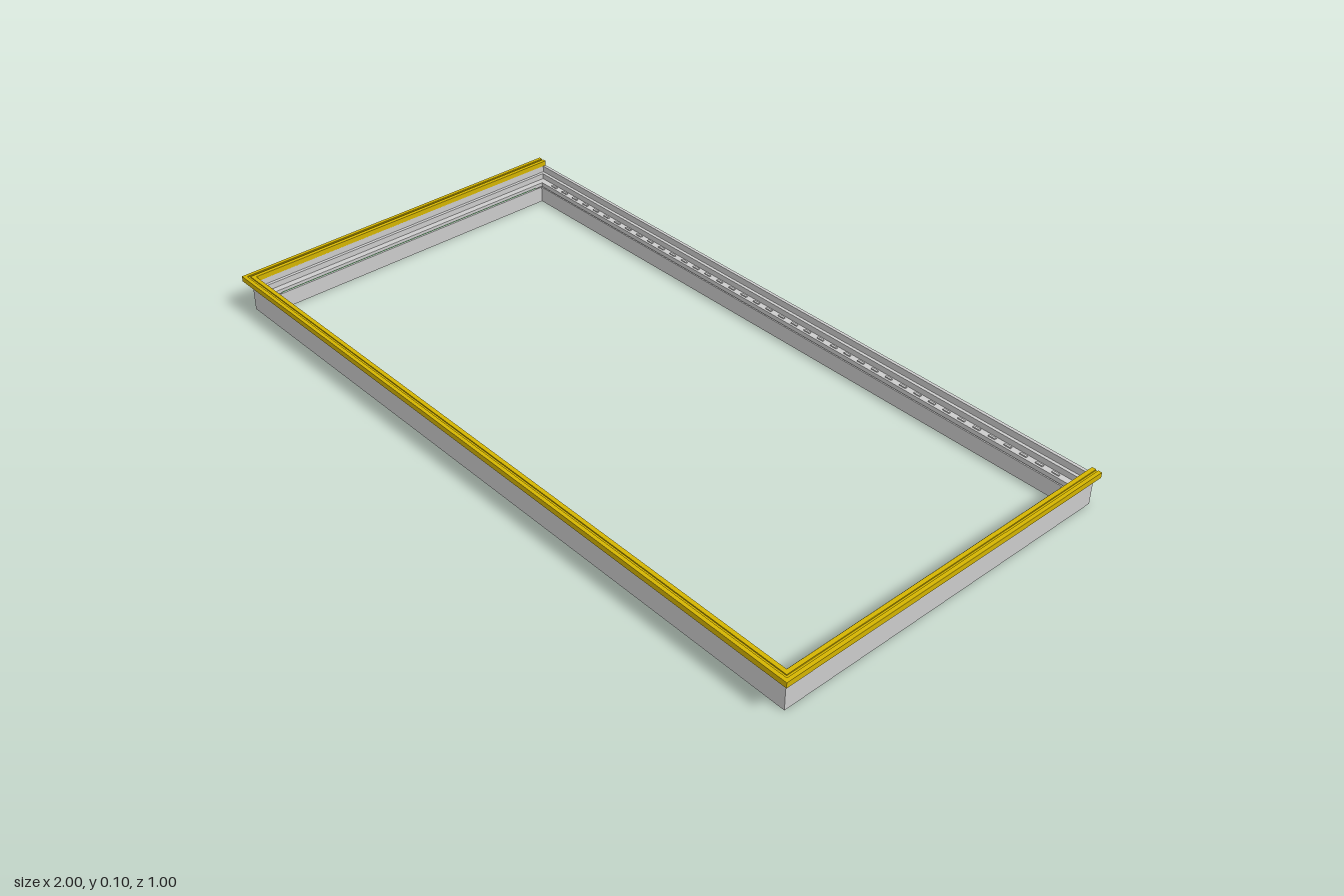
import * as THREE from 'three';

const W = 0.982, FRONT = 0.482, BACK = -0.5;

// Sweeps a profile of [inset, height] points round the mitred rectangle.
function sweepRail(profile, closed) {
  const corners = [[1, BACK, 1], [1, FRONT, -1], [-1, FRONT, -1], [-1, BACK, 1]];
  const point = (j, i) => {
    const [sx, z, dz] = corners[j % 4];
    const [inset, y] = profile[i % profile.length];
    // an open rail is cut square at the back instead of mitred
    const shift = !closed && dz > 0 ? 0 : dz * inset;
    return [sx * (W - inset), y, z + shift];
  };
  const pos = [];
  for (let j = 0; j < (closed ? 4 : 3); j++) {
    for (let i = 0; i < profile.length; i++) {
      const a = point(j, i), b = point(j + 1, i), c = point(j + 1, i + 1), d = point(j, i + 1);
      pos.push(...a, ...c, ...b, ...a, ...d, ...c);
    }
  }
  if (!closed) {
    const outline = profile.map(([x, y]) => new THREE.Vector2(x, y));
    for (const face of THREE.ShapeUtils.triangulateShape(outline, [])) {
      for (const j of [0, 3]) for (const i of face) pos.push(...point(j, i));
    }
  }
  const geometry = new THREE.BufferGeometry();
  geometry.setAttribute('position', new THREE.Float32BufferAttribute(pos, 3));
  geometry.computeVertexNormals();
  return geometry;
}

export function createModel() {
  const model = new THREE.Group();
  const grey = new THREE.MeshStandardMaterial({ color: 0xcccccc, flatShading: true });
  const yellow = new THREE.MeshStandardMaterial({ color: 0xd4b400, flatShading: true, side: THREE.DoubleSide });
  const green = new THREE.MeshStandardMaterial({ color: 0x3f9a4a });
  const add = (name, geometry, material, x = 0, y = 0, z = 0) => {
    const mesh = new THREE.Mesh(geometry, material);
    mesh.name = name;
    mesh.position.set(x, y, z);
    model.add(mesh);
    return mesh;
  };

  // Stepped frame: outer wall, two ledges, groove and inner lip
  add('frameBody', sweepRail([
    [0, 0], [0, 0.086], [0.009, 0.086], [0.009, 0.068], [0.018, 0.068],
    [0.018, 0.052], [0.036, 0.052], [0.036, 0.03], [0.043, 0.03],
    [0.043, 0.046], [0.047, 0.046], [0.047, 0],
  ], true), grey);

  // Overhanging trim on the two ends and the front, with a shallow groove
  add('edgeTrim', sweepRail([
    [-0.018, 0.085], [-0.018, 0.1], [-0.008, 0.1], [-0.008, 0.097],
    [-0.002, 0.097], [-0.002, 0.1], [0.009, 0.1], [0.009, 0.085],
  ], false), yellow);

  // Rows of small clips along the long ledges
  const clipGeometry = new THREE.BoxGeometry(0.02, 0.004, 0.006);
  for (const [side, z] of [['front', FRONT - 0.027], ['back', BACK + 0.027]]) {
    const count = 40;
    const clips = new THREE.Group();
    clips.name = side + 'LedgeClips';
    for (let i = 0; i < count; i++) {
      const clip = new THREE.Mesh(clipGeometry, grey);
      clip.name = 'ledgeClip';
      clip.position.set(-0.9 + (1.8 * i) / (count - 1), 0.053, z);
      clips.add(clip);
    }
    model.add(clips);
  }

  // Thin seal lying in the groove of the right end
  add('grooveSeal', new THREE.BoxGeometry(0.004, 0.015, 0.86), green,
    -(W - 0.0395), 0.0365, (FRONT + BACK) / 2);

  return model;
}
